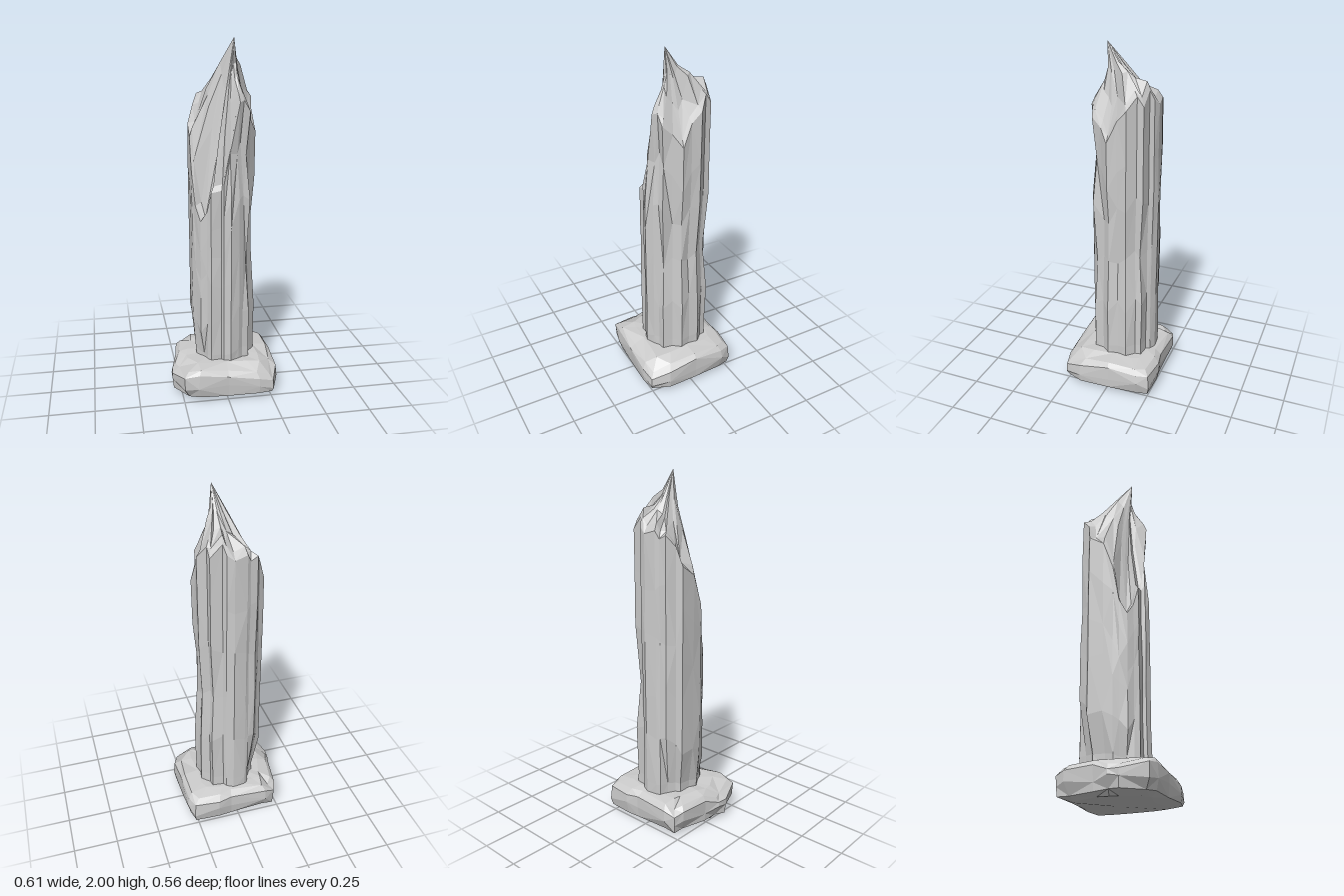
import * as THREE from 'three';

const stone = new THREE.MeshStandardMaterial({ color: 0xcccccc, flatShading: true });

// Repeatable jitter in -1..1
function jitter(i, k) {
  const s = Math.sin(i * 127.1 + k * 311.7) * 43758.5453;
  return 2 * (s - Math.floor(s)) - 1;
}

// Closed skin through rings of [x, y, z] points, from a bottom centre to a top centre
function skin(name, rings, bottom, top) {
  const n = rings[0].length;
  const points = [...rings.flat(), bottom, top];
  const low = rings.length * n, high = low + 1, last = (rings.length - 1) * n;
  const index = [];
  for (let i = 0; i < n; i++) {
    const j = (i + 1) % n;
    index.push(low, i, j, last + i, high, last + j);
    for (let k = 0; k < rings.length - 1; k++) {
      const a = k * n + i, b = k * n + j;
      // Alternate the diagonal for a chipped look
      if ((i + k) % 2) index.push(a, a + n, b + n, a, b + n, b);
      else index.push(a, a + n, b, b, a + n, b + n);
    }
  }
  const geometry = new THREE.BufferGeometry();
  geometry.setAttribute('position', new THREE.Float32BufferAttribute(points.flat(), 3));
  geometry.setIndex(index);
  geometry.computeVertexNormals();
  const mesh = new THREE.Mesh(geometry, stone);
  mesh.name = name;
  return mesh;
}

// Rough squarish slab with worn-down corners
function makeBase() {
  // Each corner: x, z, share of the full height left at the rim
  const outline = [
    [-0.23, -0.255, 0.8], [-0.17, -0.277, 0.95], [0.05, -0.265, 1], [0.13, -0.281, 0.95],
    [0.28, -0.268, 0.9], [0.305, -0.2, 0.95], [0.3, -0.02, 1], [0.306, 0.16, 0.85],
    [0.265, 0.265, 0.62], [0.18, 0.278, 0.75], [0, 0.276, 0.88], [-0.17, 0.273, 1],
    [-0.25, 0.256, 0.92], [-0.305, 0.12, 0.75], [-0.31, 0.06, 0.75], [-0.275, -0.03, 0.95], [-0.25, -0.2, 0.9],
  ];
  // [height, scale, roughness, how far the worn rim applies]
  const levels = [
    [0.012, 0.76, 0.07, 0], [0.035, 0.92, 0.06, 0], [0.1, 0.985, 0.015, 0.7],
    [0.17, 0.98, 0.02, 1], [0.197, 0.88, 0.04, 0.8], [0.203, 0.68, 0.05, 0.1],
  ];
  const rings = levels.map(([y, s, r, wear], k) => outline.map(([x, z, rim], i) => {
    const f = Math.min(1, s + r * jitter(i, k));
    const h = y * (1 + (rim - 1) * wear);
    return [x * f, h + (k === 2 ? 0.02 : 0.004) * jitter(i + 40, k), z * f];
  }));
  return skin('base', rings, [0, 0.005, 0], [0.01, 0.203, 0]);
}

// Fluted shaft, snapped off along a slanting break that climbs to a spike
function makeColumn() {
  // Each flute edge: x, z, height of the rim, height half way to the crest
  const flutes = [
    [-0.17, -0.12, 1.53, 1.72], [-0.14, -0.14, 1.63, 1.74], [-0.11, -0.19, 1.69, 1.77],
    [-0.07, -0.195, 1.67, 1.78], [-0.05, -0.207, 1.71, 1.8], [0.02, -0.215, 1.69, 1.82],
    [0.06, -0.2, 1.72, 1.8], [0.075, -0.178, 1.77, 1.82], [0.14, -0.17, 1.7, 1.8],
    [0.145, -0.135, 1.75, 1.87], [0.188, -0.09, 1.68, 1.86], [0.178, -0.035, 1.62, 1.74],
    [0.192, 0.02, 1.5, 1.68], [0.155, 0.065, 1.57, 1.72], [0.142, 0.12, 1.62, 1.75],
    [0.105, 0.128, 1.68, 1.8], [0.08, 0.147, 1.67, 1.78], [0.03, 0.17, 1.4, 1.66],
    [-0.01, 0.162, 1.24, 1.52], [-0.02, 0.142, 1.2, 1.48], [-0.08, 0.147, 1.19, 1.46],
    [-0.1, 0.125, 1.08, 1.42], [-0.132, 0.1, 1.02, 1.46], [-0.155, 0.06, 1.1, 1.54],
    [-0.172, 0.03, 1.3, 1.64], [-0.172, -0.03, 1.47, 1.7],
  ];
  const spike = [0.06, 2.0, 0.06];
  const steps = [0, 0.06, 0.24, 0.44, 0.64, 0.83, 1];
  const rings = steps.map((t, k) => flutes.map(([x, z, rim], i) => {
    const inside = k > 0 && k < steps.length - 1;
    const y = 0.17 + (rim - 0.17) * t + (inside && k > 1 ? 0.05 * jitter(i, k) : 0);
    let f = 0.985 + (inside ? 0.022 * jitter(i, k + 9) : 0);
    // Foot tucks in on the back left, waist on the right, dent at the front
    if (x < -0.1 && k < 2) f *= z < 0 ? 0.8 : 0.88;
    if (x > 0.13 && Math.abs(y - 0.9) < 0.2) f *= 0.9;
    if (z > 0.1 && x > 0 && Math.abs(y - 1.5) < 0.12) f *= 0.86;
    return [x * f, y, z * f];
  }));
  // Broken face: a narrow ledge, a rough slope and a crest below the spike
  const crest = [
    { scale: 0.86, cx: 0.03, cz: 0, height: (rim) => rim + 0.035 },
    { scale: 0.52, cx: 0.04, cz: 0.01, height: (rim, half) => half },
    { scale: 0.24, cx: 0.05, cz: 0.03, height: (rim, half) => half + (1.92 - half) * 0.65 },
  ];
  crest.forEach(({ scale, cx, cz, height }, k) => rings.push(flutes.map(([x, z, rim, half], i) => {
    // Neighbouring flutes share their jitter, so the break splits into chunks
    const chunk = jitter(Math.floor(i / 3), k + 30);
    const f = scale * (1 + 0.08 * chunk);
    return [cx + (x - cx) * f, height(rim, half) + 0.02 * chunk, cz + (z - cz) * f];
  })));
  return skin('brokenColumn', rings, [0, 0.17, 0], spike);
}

export function createModel() {
  const group = new THREE.Group();
  group.name = 'ruinedColumn';
  group.add(makeBase(), makeColumn());
  return group;
}
